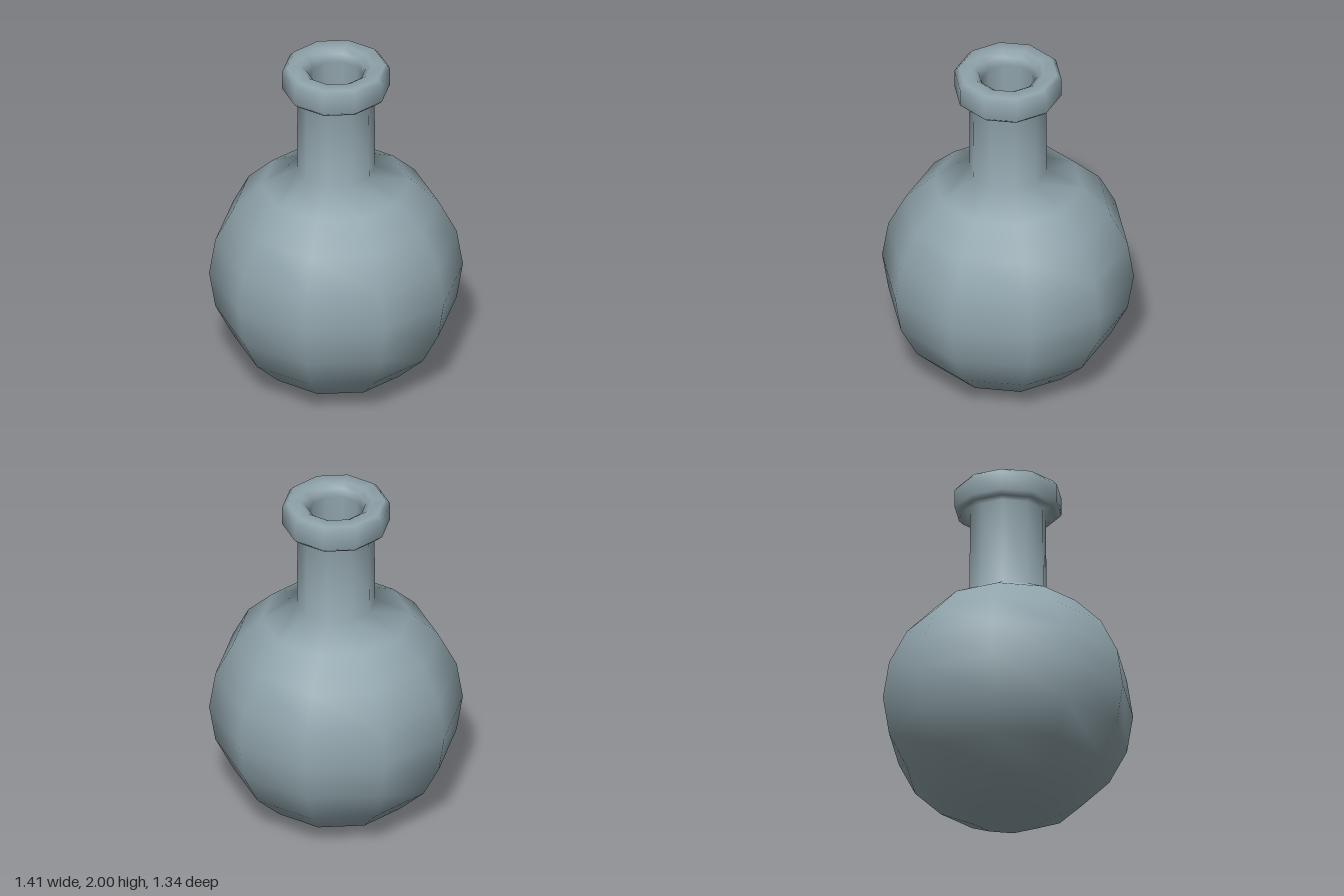
import * as THREE from 'three';

const SIDES = 10;

// Ten-sided smooth lathe with a corner on the x axis
function turned(name, points, color) {
  const profile = points.map(([r, y]) => new THREE.Vector2(r, y));
  const geometry = new THREE.LatheGeometry(profile, SIDES, Math.PI / 2);
  const mesh = new THREE.Mesh(geometry, new THREE.MeshStandardMaterial({ color }));
  mesh.name = name;
  return mesh;
}

// Points on the round bulb, between two angles measured from straight down
function bulbArc(radius, from, to, steps) {
  const points = [];
  for (let i = 0; i <= steps; i++) {
    const a = THREE.MathUtils.degToRad(from + ((to - from) * i) / steps);
    points.push([radius * Math.sin(a), 0.67 - radius * Math.cos(a)]);
  }
  return points;
}

export function createModel() {
  const group = new THREE.Group();
  group.name = 'flask';

  // Outer bulb, neck, rolled lip, then down the inside of the neck and bulb
  const glass = [
    [0, 0],
    ...bulbArc(0.704, 18, 162, 8),
    [0.213, 1.84],
    [0.275, 1.84], [0.3, 1.865], [0.3, 1.97], [0.272, 2],
    [0.2, 2], [0.165, 1.975], [0.15, 1.93],
    [0.15, 1.3],
    ...bulbArc(0.63, 162, 18, 8),
    [0, 0.071],
  ];
  group.add(turned('flaskGlass', glass, 0x8fa3aa));

  // Liquid filling the lower half of the bulb, with a flat surface
  group.add(turned('liquidBody', [[0, 0.08], ...bulbArc(0.62, 18, 90, 4)], 0x0f8a30));
  const surface = turned('liquidSurface', [[0.62, 0.67], [0, 0.67]], 0x0f8a30);
  group.add(surface);

  return group;
}
